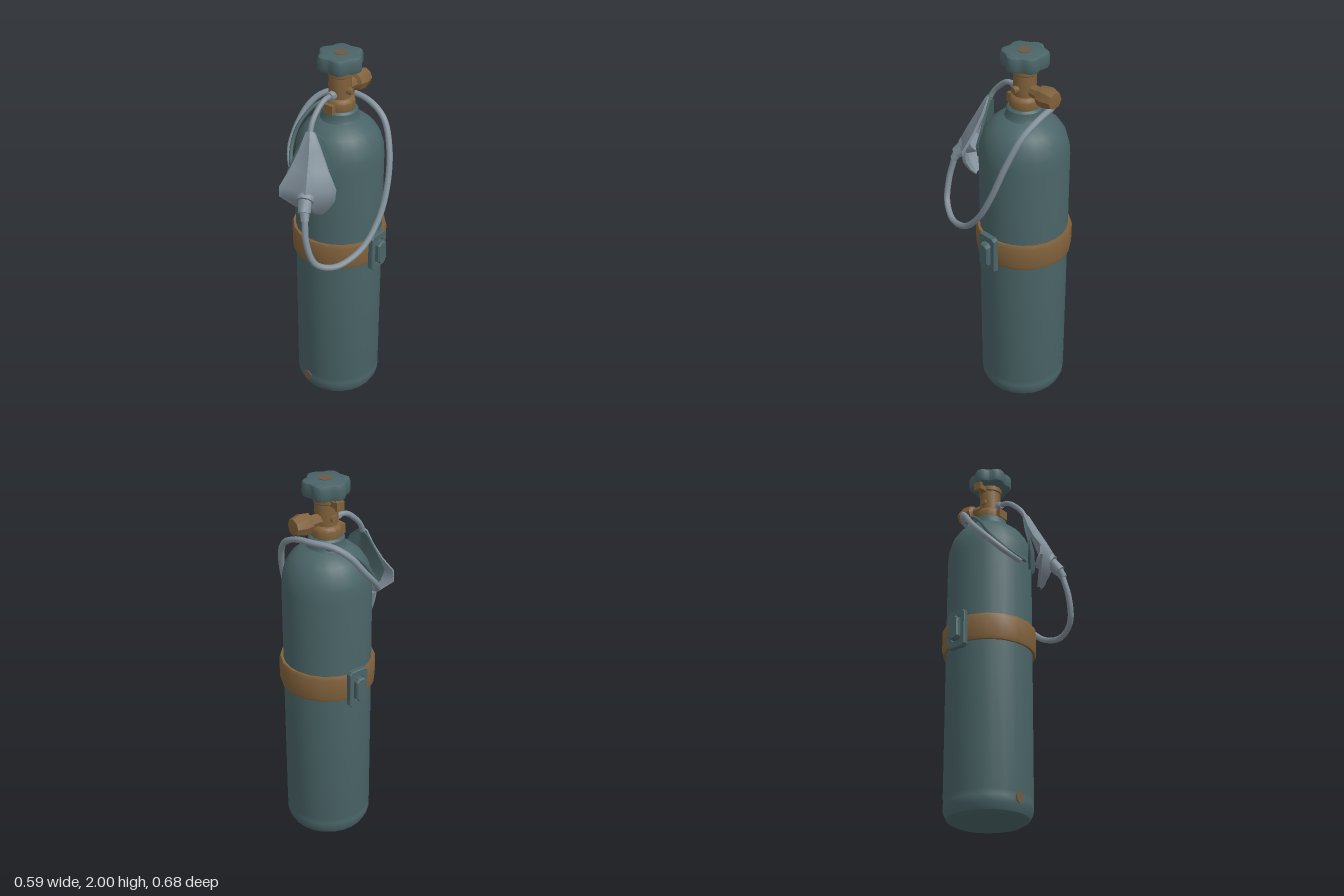
import * as THREE from 'three';
import { toCreasedNormals } from 'three/addons/utils/BufferGeometryUtils.js';

const V = (x, y, z) => new THREE.Vector3(x, y, z);
const material = (name, color) => {
  const m = new THREE.MeshStandardMaterial({ color });
  m.name = name;
  return m;
};

export function createModel() {
  const model = new THREE.Group();
  const teal = material('teal paint', 0x4a6467);
  const brass = material('brass', 0x80613b);
  const grey = material('grey rubber', 0x82909a);
  const worn = material('worn paint', 0x6b5a44);
  const AXIS = -0.09; // the tank stands a little behind the centre

  const add = (name, geometry, mat, x = 0, y = 0, z = 0, parent = model) => {
    const mesh = new THREE.Mesh(geometry, mat);
    mesh.name = name;
    mesh.position.set(x, y, z);
    parent.add(mesh);
    return mesh;
  };
  const lathe = (points, sides, crease = 0.6) =>
    toCreasedNormals(new THREE.LatheGeometry(points.map(p => new THREE.Vector2(...p)), sides), crease);
  const tube = (name, points, radius, mat) => add(name,
    new THREE.TubeGeometry(new THREE.CatmullRomCurve3(points.map(p => V(...p))), points.length * 5, radius, 8), mat);
  // Tapered round piece between two points
  const link = (name, a, b, r1, r2, mat) => {
    const from = V(...a), to = V(...b), dir = to.clone().sub(from);
    const geo = toCreasedNormals(new THREE.CylinderGeometry(r2, r1, dir.length(), 10), 0.8);
    const mesh = add(name, geo, mat);
    mesh.position.copy(from).add(to).multiplyScalar(0.5);
    mesh.quaternion.setFromUnitVectors(V(0, 1, 0), dir.normalize());
  };

  // Tank with rounded foot, domed shoulder and neck
  add('tank', lathe([
    [0, 0.005], [0.18, 0.005], [0.207, 0.02], [0.224, 0.055], [0.226, 0.09], [0.223, 0.105], [0.226, 0.12],
    [0.227, 0.9], [0.227, 1.44], [0.222, 1.5], [0.205, 1.56], [0.175, 1.605],
    [0.135, 1.64], [0.1, 1.655], [0.092, 1.67], [0.09, 1.7], [0.08, 1.71], [0, 1.71],
  ], 24), teal, 0, 0, AXIS);
  const patch = add('wornPatch', new THREE.CylinderGeometry(0.03, 0.03, 0.006, 8), worn, -0.035, 0.09, AXIS + 0.223);
  patch.rotation.set(Math.PI / 2, 0, 0);

  // Strap around the tank
  const strap = add('strap', lathe([
    [0.224, 0.895], [0.242, 0.893], [0.247, 0.91], [0.248, 1.02], [0.242, 1.035], [0.224, 1.033], [0.224, 0.895],
  ], 18), brass, 0, 0, AXIS);
  strap.rotation.y = 0.1;

  // Buckles: a frame with a raised bar, mirrored
  const rect = (Shape, w, h) => {
    const c = 0.012, s = new Shape();
    [[-w + c, -h], [w - c, -h], [w, -h + c], [w, h - c], [w - c, h], [-w + c, h], [-w, h - c], [-w, -h + c]]
      .forEach(([x, y], i) => (i ? s.lineTo(x, y) : s.moveTo(x, y)));
    s.closePath();
    return s;
  };
  const frame = rect(THREE.Shape, 0.053, 0.1);
  frame.holes.push(rect(THREE.Path, 0.03, 0.07));
  for (const side of [1, -1]) {
    const buckle = new THREE.Group();
    buckle.name = side > 0 ? 'leftBuckle' : 'rightBuckle';
    buckle.position.set(side * 0.24, 0.96, AXIS - 0.004);
    buckle.rotation.y = side * Math.PI / 2;
    model.add(buckle);
    add('buckleFrame', new THREE.ExtrudeGeometry(frame, {
      depth: 0.022, bevelEnabled: true, bevelSize: 0.003, bevelThickness: 0.004, bevelSegments: 1,
    }), teal, 0, 0, 0, buckle);
    add('bucklePlate', new THREE.BoxGeometry(0.064, 0.145, 0.022), teal, 0, 0, 0.008, buckle);
    add('buckleBar', new THREE.ExtrudeGeometry(rect(THREE.Shape, 0.025, 0.058), {
      depth: 0.03, bevelEnabled: true, bevelSize: 0.006, bevelThickness: 0.008, bevelSegments: 1,
    }), teal, 0, 0, 0.014, buckle);
  }

  // Valve body, stem and outlet
  add('valveBody', lathe([
    [0, 1.69], [0.07, 1.69], [0.077, 1.7], [0.077, 1.75], [0.068, 1.765], [0.058, 1.77],
    [0.058, 1.88], [0.064, 1.885], [0.064, 1.91], [0.035, 1.915], [0.035, 1.94], [0, 1.94],
  ], 12), brass, 0, 0, AXIS);
  const outlet = add('valveOutlet', lathe([
    [0, 0], [0.032, 0], [0.032, 0.1], [0.05, 0.11], [0.056, 0.15], [0.042, 0.2], [0, 0.205],
  ], 8, 0.4), brass, -0.003, 1.8, AXIS);
  outlet.rotation.x = -Math.PI / 2;
  add('valveLug', new THREE.BoxGeometry(0.07, 0.03, 0.035), brass, -0.075, 1.89, AXIS);
  add('valveLugTip', new THREE.BoxGeometry(0.018, 0.045, 0.045), brass, -0.105, 1.89, AXIS);
  link('gaugePort', [0.05, 1.81, AXIS], [0.08, 1.81, AXIS], 0.02, 0.016, brass);
  link('sideScrew', [-0.05, 1.81, AXIS], [-0.066, 1.81, AXIS], 0.02, 0.016, brass);
  link('hosePort', [0, 1.79, AXIS + 0.04], [0, 1.79, AXIS + 0.08], 0.025, 0.02, grey);
  add('collarTab', new THREE.BoxGeometry(0.06, 0.05, 0.04), brass, 0, 1.725, AXIS + 0.075);

  // Lobed handwheel
  const wheel = new THREE.Shape();
  for (let i = 0; i < 36; i++) {
    const a = i / 36 * Math.PI * 2, r = 0.094 + 0.009 * Math.cos(6 * a - 0.6);
    wheel[i ? 'lineTo' : 'moveTo'](r * Math.cos(a), r * Math.sin(a));
  }
  wheel.closePath();
  const wheelGeo = new THREE.ExtrudeGeometry(wheel, {
    depth: 0.042, bevelEnabled: true, bevelSize: 0.015, bevelThickness: 0.02, bevelSegments: 2,
  });
  wheelGeo.rotateX(-Math.PI / 2);
  add('handwheel', toCreasedNormals(wheelGeo, 0.7), teal, 0, 1.935, AXIS);
  add('handwheelCap', new THREE.CylinderGeometry(0.033, 0.033, 0.005, 16), worn, 0.006, 1.9975, AXIS);

  // Breathing mask: closed loft of ridged cross-sections, facing front left
  const U = V(0.86, 0, -0.51), N = V(0.51, 0, 0.86);
  const loft = (rows, thick) => {
    const span = [-1, -0.8, -0.5, -0.2, 0, 0.2, 0.5, 0.8, 1], pos = [], idx = [];
    const ring = span.length * 2;
    rows.forEach(([x, y, z, w, d], i) => {
      for (let j = 0; j < ring; j++) {
        const back = j >= span.length;
        const u = back ? span[ring - 1 - j] : span[j];
        const p = V(x, y, z).addScaledVector(U, u * w)
          .addScaledVector(N, d * (1 - Math.abs(u)) ** 1.3 - (back ? thick : 0));
        pos.push(p.x, p.y, p.z);
        if (i === rows.length - 1) continue;
        const a = i * ring + j, b = i * ring + (j + 1) % ring;
        idx.push(a, a + ring, b, b, a + ring, b + ring);
      }
    });
    const geo = new THREE.BufferGeometry();
    geo.setAttribute('position', new THREE.Float32BufferAttribute(pos, 3));
    geo.setIndex(idx);
    return toCreasedNormals(geo, 0.8);
  };
  add('mask', loft([
    [0.015, 1.675, 0.15, 0.004, 0.004], [0.017, 1.66, 0.152, 0.025, 0.015], [0.032, 1.58, 0.17, 0.055, 0.035],
    [0.05, 1.49, 0.2, 0.095, 0.05], [0.07, 1.41, 0.235, 0.14, 0.05], [0.065, 1.35, 0.235, 0.138, 0.045],
    [0.075, 1.29, 0.21, 0.085, 0.03], [0.09, 1.245, 0.18, 0.02, 0.005],
  ], 0.014), grey);
  // Dark pad behind the mask
  add('maskPad', loft([
    [0.02, 1.67, 0.14, 0.006, 0.004], [0.025, 1.63, 0.14, 0.05, 0.008], [0.035, 1.54, 0.15, 0.095, 0.01],
    [0.04, 1.45, 0.17, 0.125, 0.01], [0.04, 1.38, 0.17, 0.1, 0.008], [0.04, 1.33, 0.16, 0.03, 0.004],
  ], 0.012), teal);
  // Mask outlet
  link('maskPortBase', [0.055, 1.4, 0.215], [0.083, 1.36, 0.27], 0.058, 0.044, grey);
  link('maskPort', [0.08, 1.363, 0.265], [0.105, 1.315, 0.3], 0.035, 0.032, grey);
  link('maskPortTip', [0.1, 1.325, 0.293], [0.12, 1.28, 0.312], 0.025, 0.02, grey);

  // Hoses
  tube('mainHose', [
    [0.113, 1.3, 0.305], [0.14, 1.17, 0.327], [0.18, 1.05, 0.305], [0.23, 1.005, 0.21], [0.27, 1.05, 0.06],
    [0.28, 1.17, -0.06], [0.268, 1.32, -0.14], [0.23, 1.5, -0.2], [0.16, 1.64, -0.235], [0.05, 1.705, -0.24],
    [-0.06, 1.72, -0.22], [-0.15, 1.71, -0.16], [-0.2, 1.66, -0.1], [-0.222, 1.57, -0.03],
    [-0.2, 1.47, 0.06], [-0.14, 1.4, 0.12], [-0.05, 1.36, 0.16],
  ], 0.016, grey);
  tube('feedHose', [
    [0, 1.79, -0.03], [0, 1.785, 0.03], [0, 1.75, 0.08], [0.005, 1.7, 0.125], [0.017, 1.64, 0.155],
  ], 0.014, grey);
  tube('headStrap', [
    [-0.1, 1.69, -0.17], [-0.15, 1.67, -0.09], [-0.185, 1.59, 0.0], [-0.185, 1.5, 0.06],
    [-0.13, 1.41, 0.13], [-0.03, 1.36, 0.18],
  ], 0.01, teal);

  return model;
}
